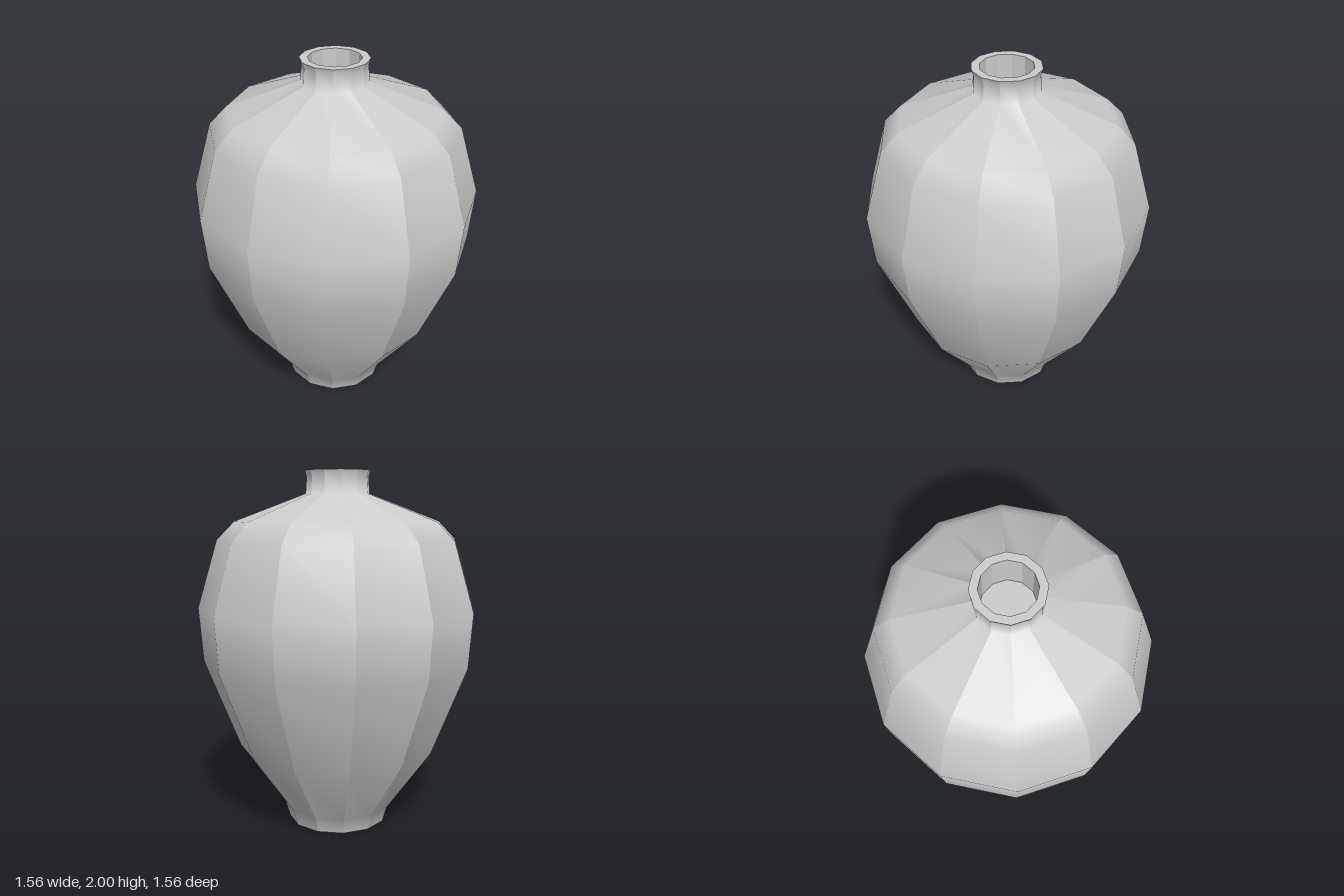
import * as THREE from 'three';
import { mergeGeometries } from 'three/addons/utils/BufferGeometryUtils.js';

const SIDES = 12;

// Faceted lathe: each column is shaded smoothly upward, with hard edges between columns
function facetedLathe(profile) {
  const points = profile.map(([r, y]) => new THREE.Vector2(r, y));
  const step = (Math.PI * 2) / SIDES;
  const columns = [];
  for (let i = 0; i < SIDES; i++) {
    const column = new THREE.LatheGeometry(points, 1, i * step, step);
    column.computeVertexNormals();
    columns.push(column);
  }
  return mergeGeometries(columns);
}

export function createModel() {
  const vase = new THREE.Group();
  vase.name = 'vase';
  const material = new THREE.MeshStandardMaterial({ color: 0xcccccc });

  const add = (name, geometry) => {
    const mesh = new THREE.Mesh(geometry, material);
    mesh.name = name;
    vase.add(mesh);
    return mesh;
  };

  // Outer wall: foot, belly, shoulder and flared neck
  add('body', facetedLathe([
    [0.283, 0], [0.31, 0.09], [0.565, 0.45], [0.76, 0.95], [0.782, 1.25],
    [0.67, 1.625], [0.572, 1.725], [0.178, 1.875], [0.172, 1.965], [0.183, 2],
  ]));

  // Flat lip and the straight inside of the mouth
  add('rim', facetedLathe([[0.183, 2], [0.14, 2]]));
  add('mouthWall', facetedLathe([[0.14, 2], [0.14, 1.8]]));

  // Flat discs closing the mouth and the foot
  const disc = (name, radius, y, turn) => {
    const mesh = add(name, new THREE.CircleGeometry(radius, SIDES));
    mesh.rotation.x = turn;
    mesh.position.y = y;
  };
  disc('mouthFloor', 0.14, 1.8, -Math.PI / 2);
  disc('base', 0.283, 0, Math.PI / 2);

  return vase;
}
